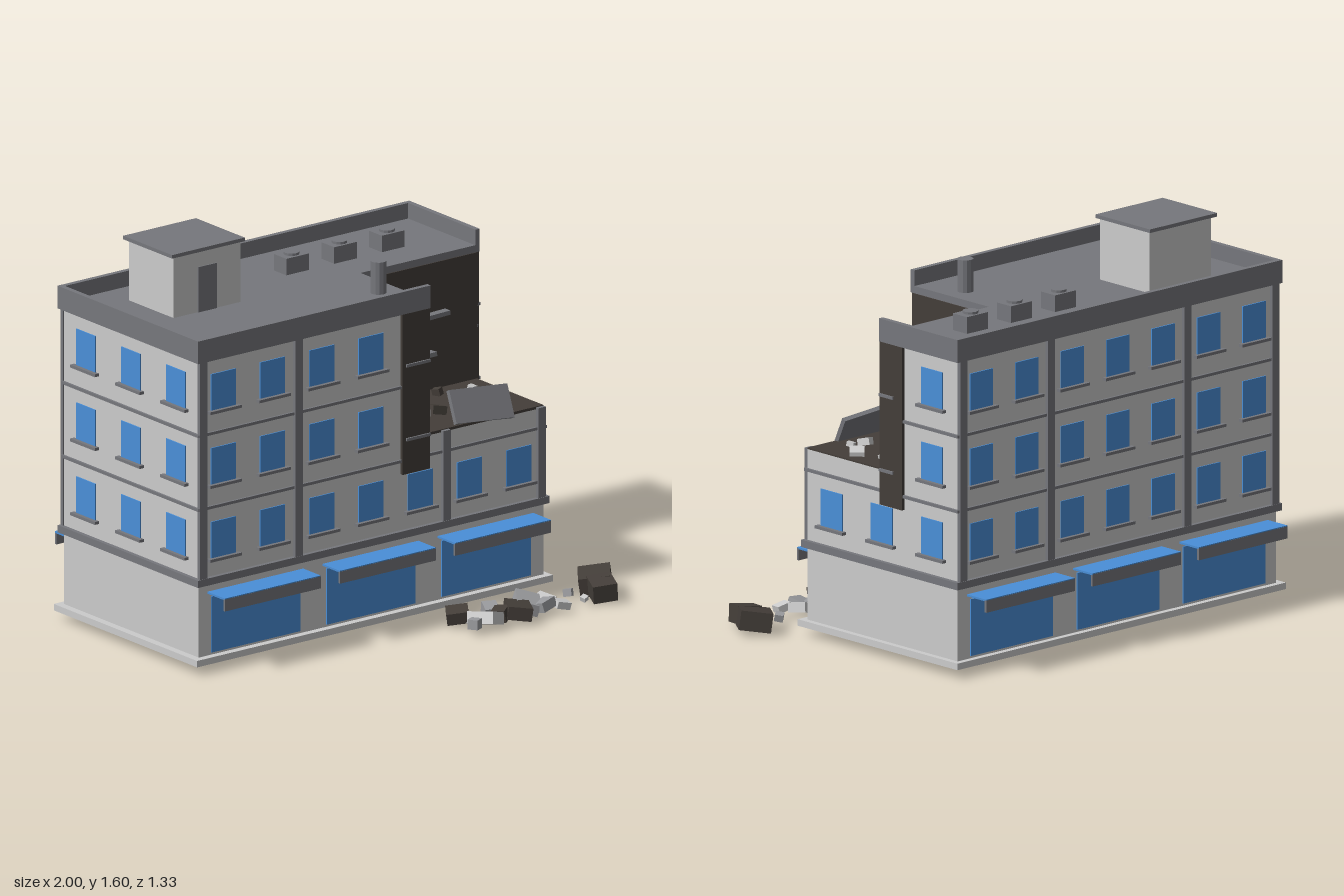
import * as THREE from 'three';

const mat = (color) => new THREE.MeshStandardMaterial({ color, flatShading: true });
const WALL = mat(0xcccccc), TRIM = mat(0x76777c), BLUE = mat(0x4a8fd8), DARK = mat(0x443e39), RUBBLE = mat(0x9a9b9e);

// main wall planes and the inner corner of the collapsed part
const X0 = -0.968, X1 = 0.775, Z0 = -0.555, Z1 = 0.32;
const CX = 0.19, CZ = -0.115;

export function createModel() {
  const root = new THREE.Group();

  const add = (parent, name, geometry, material) => {
    const m = new THREE.Mesh(geometry, material);
    m.name = name;
    parent.add(m);
    return m;
  };
  // box from min and max limits
  const span = (parent, name, material, x0, x1, y0, y1, z0, z1) => {
    const m = add(parent, name, new THREE.BoxGeometry(x1 - x0, y1 - y0, z1 - z0), material);
    m.position.set((x0 + x1) / 2, (y0 + y1) / 2, (z0 + z1) / 2);
    return m;
  };
  // box from centre, size and rotation
  const block = (parent, name, material, p, s, r = [0, 0, 0]) => {
    const m = add(parent, name, new THREE.BoxGeometry(...s), material);
    m.position.set(...p);
    m.rotation.set(...r);
    return m;
  };
  const group = (name) => {
    const g = new THREE.Group();
    g.name = name;
    root.add(g);
    return g;
  };
  // full rectangular storey, grown outwards by o
  const storey = (name, material, o, y0, y1) =>
    span(root, name, material, X0 - o, X1 + o, y0, y1, Z0 - o, Z1 + o);
  // L-shaped storey that leaves the collapsed corner open
  const lStorey = (name, material, o, y0, y1) => {
    const pts = [[X0 - o, Z1 + o], [CX, Z1 + o], [CX, CZ], [X1 + o, CZ], [X1 + o, Z0 - o], [X0 - o, Z0 - o]];
    const shape = new THREE.Shape(pts.map(([x, z]) => new THREE.Vector2(x, -z)));
    const g = new THREE.ExtrudeGeometry(shape, { depth: y1 - y0, bevelEnabled: false });
    g.rotateX(-Math.PI / 2);
    g.translate(0, y0, 0);
    return add(root, name, g, material);
  };

  // storeys and horizontal bands
  span(root, 'plinth', WALL, -1, 0.8, 0.043, 0.07, -0.58, 0.35);
  storey('groundFloor', WALL, 0, 0.07, 0.37);
  storey('cornice', TRIM, 0.018, 0.37, 0.4);
  storey('lowerWalls', WALL, 0, 0.4, 0.775);
  storey('lowerBand', TRIM, 0.01, 0.685, 0.697);
  lStorey('upperWalls', WALL, 0, 0.775, 1.31);
  lStorey('upperBand', TRIM, 0.01, 0.995, 1.007);
  lStorey('roofSlab', TRIM, 0.017, 1.31, 1.34);

  // parapet, interrupted at the collapsed corner
  const parapet = group('parapet');
  const px0 = -0.987, px1 = 0.792, pz0 = -0.573, pz1 = 0.34, pt = 0.022;
  span(parapet, 'parapetFront', TRIM, px0, CX, 1.31, 1.405, pz1 - pt, pz1);
  span(parapet, 'parapetBack', TRIM, px0, px1, 1.31, 1.405, pz0, pz0 + pt);
  span(parapet, 'parapetRight', TRIM, px0, px0 + pt, 1.31, 1.405, pz0, pz1);
  span(parapet, 'parapetLeft', TRIM, px1 - pt, px1, 1.31, 1.405, pz0, CZ);

  // scorched lining of the collapsed corner
  const scorch = group('collapsedCorner');
  span(scorch, 'scorchedFloor', DARK, CX, X1, 0.77, 0.781, CZ, Z1);
  span(scorch, 'scorchedSideWall', DARK, CX - 0.01, CX + 0.004, 0.775, 1.31, CZ, Z1);
  span(scorch, 'scorchedBackWall', DARK, CX, X1, 0.775, 1.31, CZ - 0.01, CZ + 0.004);
  span(scorch, 'scorchedFrontEdge', DARK, 0.053, CX, 0.635, 1.31, Z1 - 0.01, 0.334);
  span(scorch, 'scorchedLeftEdge', DARK, X1 - 0.01, 0.789, 0.635, 1.31, -0.245, CZ);
  block(scorch, 'brokenFloorEdge', TRIM, [0.22, 1.093, 0.21], [0.045, 0.018, 0.21], [-0.07, 0, 0]);
  block(scorch, 'brokenFloorEdge', TRIM, [0.22, 1.08, 0.06], [0.055, 0.02, 0.13], [-0.12, 0, 0]);
  block(scorch, 'brokenFloorEdge', TRIM, [0.41, 1.092, -0.095], [0.41, 0.018, 0.035], [0, 0, 0.03]);
  block(scorch, 'fallenSlab', TRIM, [0.485, 0.833, 0.285], [0.285, 0.14, 0.02], [-0.5, 0, -0.1]);

  // windows with sills; place() works in wall coordinates u along the wall
  const windows = group('windows');
  const rows = [0.473, 0.783, 1.093];
  const windowUnit = (u, y, wall, sign, alongX) => {
    const out = (w, d) => [Math.min(w, w + sign * d), Math.max(w, w + sign * d)];
    const put = (name, m, half, y0, y1, d) => {
      const o = out(wall - sign * 0.01, d + 0.01);
      if (alongX) span(windows, name, m, u - half, u + half, y0, y1, o[0], o[1]);
      else span(windows, name, m, o[0], o[1], y0, y1, u - half, u + half);
    };
    put('windowPane', BLUE, 0.0625, y, y + 0.155, 0.005);
    put('windowSill', TRIM, 0.08, y - 0.009, y + 0.003, 0.021);
  };
  rows.forEach((y, r) => {
    for (let i = 0; i < 7; i++) {
      const x = -0.846 + i * 0.249;
      windowUnit(x, y, Z0, -1, true);
      if (r === 0 || i < 4) windowUnit(x, y, Z1, 1, true);
    }
    for (let i = 0; i < 3; i++) {
      const z = 0.175 - i * 0.2915;
      windowUnit(z, y, X0, -1, false);
      if (r === 0 || i === 2) windowUnit(z, y, X1, 1, false);
    }
    // sill stubs left at the broken edges
    if (r > 0) {
      span(windows, 'sillStub', TRIM, 0.07, CX, y - 0.009, y + 0.003, Z1, 0.341);
      span(windows, 'sillStub', TRIM, X1, 0.796, y - 0.009, y + 0.003, -0.197, CZ);
    }
  });

  // pilasters, cut short in front of the collapsed corner
  const pilasters = group('pilasters');
  [-0.954, -0.472, 0.276, 0.756].forEach((x) => {
    span(pilasters, 'frontPilaster', TRIM, x - 0.019, x + 0.019, 0.4, x > CX ? 0.778 : 1.31, Z1, 0.336);
    span(pilasters, 'backPilaster', TRIM, x - 0.019, x + 0.019, 0.4, 1.31, -0.571, Z0);
  });

  // shop windows and awnings on front and back
  const shops = group('shopFronts');
  [-0.682, -0.1, 0.482].forEach((x) => {
    [[Z1, 1], [Z0, -1]].forEach(([z, s]) => {
      block(shops, 'shopWindow', BLUE, [x, 0.198, z], [0.45, 0.235, 0.012]);
      block(shops, 'awningTop', BLUE, [x, 0.334, z + s * 0.056], [0.485, 0.008, 0.115]);
      block(shops, 'awningValance', TRIM, [x, 0.309, z + s * 0.109], [0.485, 0.05, 0.01]);
    });
  });

  // roof structures
  const roof = group('roofStructures');
  span(roof, 'stairHouse', WALL, -0.755, -0.417, 1.34, 1.595, -0.405, -0.117);
  span(roof, 'stairHouseRoof', TRIM, -0.771, -0.403, 1.595, 1.61, -0.423, -0.106);
  span(roof, 'stairHouseDoor', TRIM, -0.633, -0.54, 1.34, 1.53, -0.125, -0.112);
  add(roof, 'ventPipe', new THREE.CylinderGeometry(0.033, 0.033, 0.135, 12), TRIM).position.set(0.093, 1.407, 0.125);
  [-0.005, 0.237, 0.478].forEach((x) => {
    block(roof, 'roofUnit', TRIM, [x, 1.374, -0.314], [0.115, 0.07, 0.082]);
    add(roof, 'roofUnitFan', new THREE.CylinderGeometry(0.032, 0.032, 0.01, 12), TRIM).position.set(x, 1.414, -0.314);
  });

  // rubble: x, z, width, height, depth, turn, material
  const rubble = group('rubble');
  const scatter = (list, floor) => list.forEach(([x, z, w, h, d, turn, m], i) => {
    const tilt = 0.25 * Math.sin(i * 2.3 + 1), roll = 0.25 * Math.cos(i * 1.7);
    block(rubble, 'rubbleChunk', m, [x, floor + h / 2, z], [w, h, d], [tilt, turn, roll]);
  });
  scatter([
    [0.33, 0.035, 0.03, 0.025, 0.055, 0.2, WALL], [0.29, 0.125, 0.075, 0.03, 0.075, 0, WALL],
    [0.37, 0.14, 0.065, 0.035, 0.07, -0.1, DARK], [0.58, 0.19, 0.05, 0.03, 0.05, 0.5, WALL],
    [0.635, 0.215, 0.025, 0.02, 0.03, 0.4, WALL], [0.705, 0.105, 0.065, 0.025, 0.06, 0.8, WALL],
    [0.672, -0.01, 0.028, 0.02, 0.028, 0.3, WALL], [0.52, -0.04, 0.03, 0.03, 0.035, 0.4, DARK],
    [0.43, -0.075, 0.07, 0.03, 0.02, 0.3, DARK], [0.45, -0.06, 0.03, 0.03, 0.03, 0.9, DARK],
  ], 0.78);
  scatter([
    [0.22, 0.475, 0.09, 0.05, 0.08, -0.6, DARK], [0.21, 0.6, 0.045, 0.04, 0.045, 0.5, RUBBLE],
    [0.28, 0.58, 0.09, 0.05, 0.12, 0.4, WALL], [0.355, 0.515, 0.06, 0.05, 0.07, -0.4, RUBBLE],
    [0.36, 0.575, 0.07, 0.05, 0.06, 0.6, DARK], [0.44, 0.585, 0.1, 0.055, 0.12, -0.5, DARK],
    [0.53, 0.525, 0.1, 0.05, 0.11, -0.6, RUBBLE], [0.575, 0.575, 0.08, 0.04, 0.07, 0.2, RUBBLE],
    [0.615, 0.535, 0.05, 0.04, 0.08, 0.3, WALL], [0.65, 0.6, 0.06, 0.03, 0.05, -0.2, WALL],
    [0.76, 0.5, 0.035, 0.03, 0.035, 0.7, RUBBLE], [0.775, 0.585, 0.025, 0.02, 0.025, 0.3, WALL],
  ], 0.028);
  block(rubble, 'largeRubbleBlock', DARK, [0.905, 0.063, 0.49], [0.13, 0.08, 0.14], [0.1, -0.65, 0.2]);
  block(rubble, 'largeRubbleBlock', DARK, [0.87, 0.06, 0.58], [0.1, 0.075, 0.11], [0.15, -0.4, 0.15]);

  return root;
}
